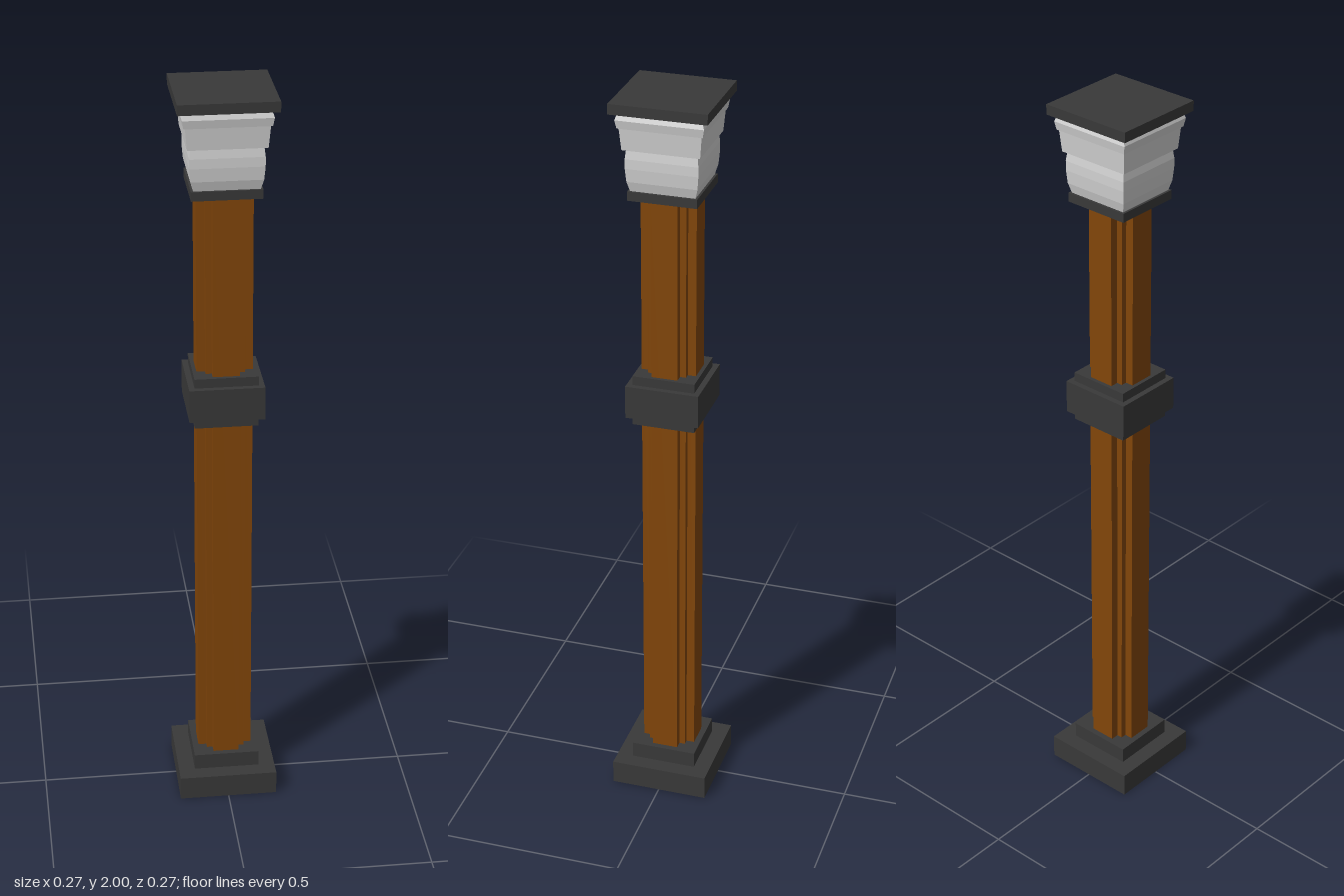
import * as THREE from 'three';

const iron = new THREE.MeshStandardMaterial({ name: 'dark iron', color: 0x393939 });
const wood = new THREE.MeshStandardMaterial({ name: 'brown wood', color: 0x824609 });
const stone = new THREE.MeshStandardMaterial({ name: 'pale stone', color: 0xd2d2d2 });

export function createModel() {
  const column = new THREE.Group();
  column.name = 'column';

  const add = (name, geometry, material) => {
    const mesh = new THREE.Mesh(geometry, material);
    mesh.name = name;
    column.add(mesh);
    return mesh;
  };

  // Square slab given its half width, bottom and top
  const slab = (name, half, y0, y1) => {
    add(name, new THREE.BoxGeometry(half * 2, y1 - y0, half * 2), iron).position.y = (y0 + y1) / 2;
  };

  // Base
  slab('basePlinth', 0.133, 0, 0.066);
  slab('baseStep', 0.089, 0.066, 0.11);

  // Shaft: square core with a broad raised rib on each side, giving stepped corners
  const rib = 0.035, core = 0.051, face = 0.073;
  const corner = [[face, -rib], [face, rib], [core, rib], [core, core], [rib, core]];
  const outline = [];
  for (let i = 0; i < 4; i++) {
    for (const [x, y] of corner) {
      outline.push(new THREE.Vector2(x, y).rotateAround(new THREE.Vector2(), i * Math.PI / 2));
    }
  }
  const shaft = new THREE.ExtrudeGeometry(new THREE.Shape(outline), { depth: 1.64, bevelEnabled: false });
  shaft.rotateX(-Math.PI / 2);
  add('shaft', shaft, wood).position.y = 0.105;

  // Middle collar
  slab('collarCore', 0.083, 1.115, 1.254);
  slab('collarBand', 0.098, 1.139, 1.229);

  // Capital: square-sided moulding between two dark plates
  slab('capitalLowerPlate', 0.09, 1.74, 1.764);
  const profile = [
    [0.084, 1.764], [0.091, 1.79], [0.094, 1.825], [0.094, 1.85], [0.091, 1.875],
    [0.1, 1.875], [0.103, 1.91], [0.105, 1.933],
    [0.109, 1.933], [0.113, 1.955], [0.107, 1.973],
  ].map(([half, y]) => new THREE.Vector2(half * Math.SQRT2, y));
  const moulding = new THREE.LatheGeometry(profile, 4, Math.PI / 4).toNonIndexed();
  moulding.computeVertexNormals();
  add('capitalMoulding', moulding, stone);
  slab('capitalTopPlate', 0.126, 1.973, 2);

  return column;
}
